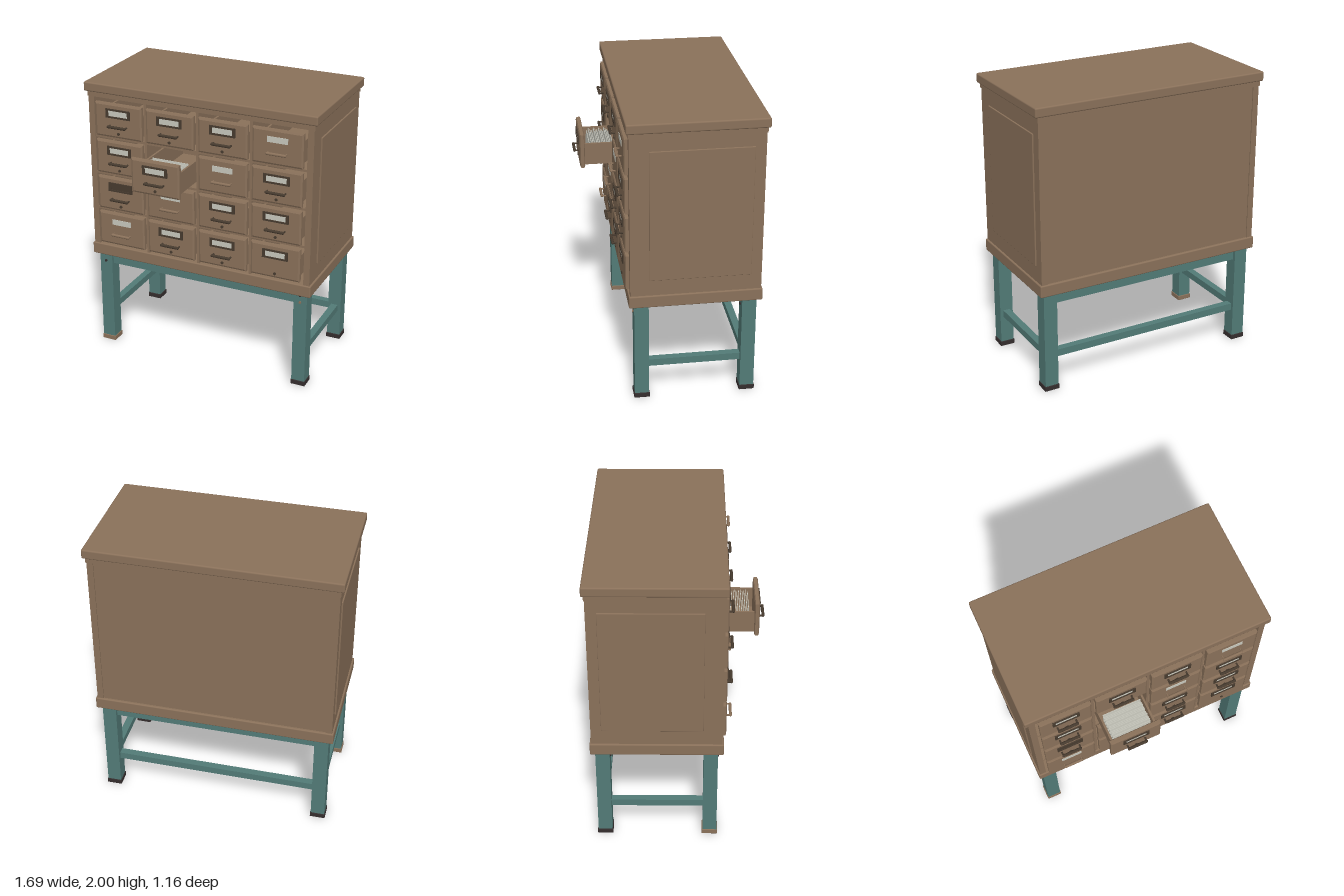
import * as THREE from 'three';
import { RoundedBoxGeometry } from 'three/addons/geometries/RoundedBoxGeometry.js';

const mat = (name, color) => Object.assign(new THREE.MeshStandardMaterial({ color }), { name });

export function createModel() {
  const wood = mat('brown wood', 0x8a715a);
  const teal = mat('teal frame', 0x527b77);
  const bronze = mat('dark bronze', 0x473b2f);
  const rubber = mat('black feet', 0x352e2e);
  const paper = mat('off-white paper', 0xc9c9be);

  const model = new THREE.Group();
  model.name = 'cardCabinet';

  const add = (parent, name, geometry, material, x = 0, y = 0, z = 0) => {
    const mesh = new THREE.Mesh(geometry, material);
    mesh.name = name;
    mesh.position.set(x, y, z);
    parent.add(mesh);
    return mesh;
  };
  // Box given by its limits on each axis, with optional rounded edges
  const block = (parent, name, material, [x0, x1], [y0, y1], [z0, z1], r = 0) => {
    const size = [x1 - x0, y1 - y0, z1 - z0];
    const geometry = r ? new RoundedBoxGeometry(...size, 2, r) : new THREE.BoxGeometry(...size);
    return add(parent, name, geometry, material, (x0 + x1) / 2, (y0 + y1) / 2, (z0 + z1) / 2);
  };
  const rect = (shape, w, h) => {
    shape.moveTo(-w / 2, -h / 2);
    shape.lineTo(w / 2, -h / 2);
    shape.lineTo(w / 2, h / 2);
    shape.lineTo(-w / 2, h / 2);
    shape.closePath();
    return shape;
  };

  // Cabinet shell
  block(model, 'top', wood, [-0.845, 0.845], [1.935, 2], [-0.58, 0.325], 0.01);
  block(model, 'cornice', wood, [-0.825, 0.825], [1.9, 1.936], [-0.565, 0.31]);
  block(model, 'plinth', wood, [-0.832, 0.832], [0.715, 0.8], [-0.57, 0.315], 0.008);
  block(model, 'backPanel', wood, [-0.79, 0.79], [0.8, 1.9], [-0.553, -0.53]);
  for (const s of [-1, 1]) {
    block(model, 'side', wood, s < 0 ? [-0.82, -0.777] : [0.777, 0.82], [0.8, 1.9], [-0.56, 0.305]);
    block(model, 'sidePanel', wood, s < 0 ? [-0.829, -0.81] : [0.81, 0.829], [0.91, 1.81], [-0.49, 0.18], 0.004);
  }

  // Dividers between the drawers
  const columns = [-0.581, -0.194, 0.194, 0.581];
  const rows = [1.753, 1.483, 1.213, 0.944];
  for (const x of [-0.388, 0, 0.388])
    block(model, 'divider', wood, [x - 0.009, x + 0.009], [0.8, 1.9], [-0.53, 0.305]);
  for (const y of [1.618, 1.348, 1.079])
    block(model, 'shelf', wood, [-0.777, 0.777], [y - 0.008, y + 0.008], [-0.53, 0.302]);

  // Shared drawer geometries
  const frontGeometry = new THREE.ExtrudeGeometry(rect(new THREE.Shape(), 0.33, 0.216), {
    depth: 0.022, bevelThickness: 0.006, bevelSize: 0.012, bevelSegments: 1,
  });
  const holderShape = rect(new THREE.Shape(), 0.184, 0.064);
  holderShape.holes.push(rect(new THREE.Path(), 0.145, 0.04));
  const holderGeometry = new THREE.ExtrudeGeometry(holderShape, { depth: 0.008, bevelEnabled: false });
  const barGeometry = new THREE.CapsuleGeometry(0.01, 0.125, 4, 10).rotateZ(Math.PI / 2);
  const postGeometry = new THREE.CylinderGeometry(0.006, 0.006, 0.03, 8).rotateX(Math.PI / 2);
  const lockGeometry = new THREE.CylinderGeometry(0.01, 0.01, 0.008, 12).rotateX(Math.PI / 2);

  // Drawer: local origin at the centre of its front, z = 0 on the front face
  const drawer = (row, col) => {
    const group = new THREE.Group();
    group.name = 'drawer';
    const open = row === 1 && col === 1;
    const plain = row + col === 3;
    const metal = plain ? wood : bronze;
    group.position.set(columns[col], rows[row], open ? 0.545 : 0.33);
    model.add(group);

    add(group, 'drawerFront', frontGeometry, wood, 0, 0, -0.028);
    for (const s of [-1, 1])
      block(group, 'drawerSide', wood, s < 0 ? [-0.16, -0.146] : [0.146, 0.16], [-0.1, 0.05], [-0.72, -0.03]);
    block(group, 'drawerBottom', wood, [-0.155, 0.155], [-0.105, -0.092], [-0.72, -0.03]);
    block(group, 'drawerBack', wood, [-0.146, 0.146], [-0.1, 0.05], [-0.72, -0.706]);

    // Label holder
    if (!plain) add(group, 'labelHolder', holderGeometry, bronze, 0, 0.053, 0);
    block(group, 'label', row === 2 && col === 0 ? bronze : paper,
      [-0.0725, 0.0725], [0.033, 0.073], [-0.002, 0.003]);

    // Pull handle
    if (!(row === 3 && col === 3)) {
      add(group, 'handleBar', barGeometry, metal, 0, -0.035, 0.029);
      for (const x of [-0.064, 0.064]) add(group, 'handlePost', postGeometry, metal, x, -0.035, 0.014);
    }
    if (!plain) add(group, 'lock', lockGeometry, bronze, 0, -0.088, 0.003);

    // Index cards in the open drawer
    if (open)
      for (let i = 0; i < 14; i++) {
        const h = 0.125 + 0.008 * ((i * 5) % 3);
        const card = add(group, 'indexCard', new THREE.BoxGeometry(0.27, h, 0.004), paper,
          0, -0.092 + h / 2, -0.065 - i * 0.012);
        card.rotation.x = -0.08;
      }
  };
  rows.forEach((_, r) => columns.forEach((__, c) => drawer(r, c)));

  // Stand: legs, feet and bolts
  const boltGeometry = new THREE.CylinderGeometry(0.009, 0.009, 0.012, 8).rotateX(Math.PI / 2);
  for (const x of [-0.75, 0.75])
    for (const z of [-0.49, 0.23]) {
      block(model, 'leg', teal, [x - 0.048, x + 0.048], [0.03, 0.716], [z - 0.048, z + 0.048]);
      const brownFoot = x < 0 && z > 0;
      block(model, 'foot', brownFoot ? wood : rubber,
        [x - 0.053, x + 0.053], [0, 0.035], [z - 0.053, z + 0.053], 0.004);
      add(model, 'bolt', boltGeometry, x > 0 && z > 0 ? wood : rubber, x, 0.652, z + 0.051);
      if (x > 0) add(model, 'bolt', boltGeometry, rubber, x, 0.703, z + 0.051);
    }

  // Stand: rails and stretchers
  for (const z of [-0.49, 0.23])
    block(model, 'upperRail', teal, [-0.71, 0.71], [0.63, 0.716], [z - 0.025, z + 0.025]);
  block(model, 'backStretcher', teal, [-0.71, 0.71], [0.23, 0.28], [-0.515, -0.465]);
  for (const x of [-0.75, 0.75])
    block(model, 'sideStretcher', teal, [x - 0.025, x + 0.025], [0.23, 0.28], [-0.45, 0.19]);

  return model;
}
